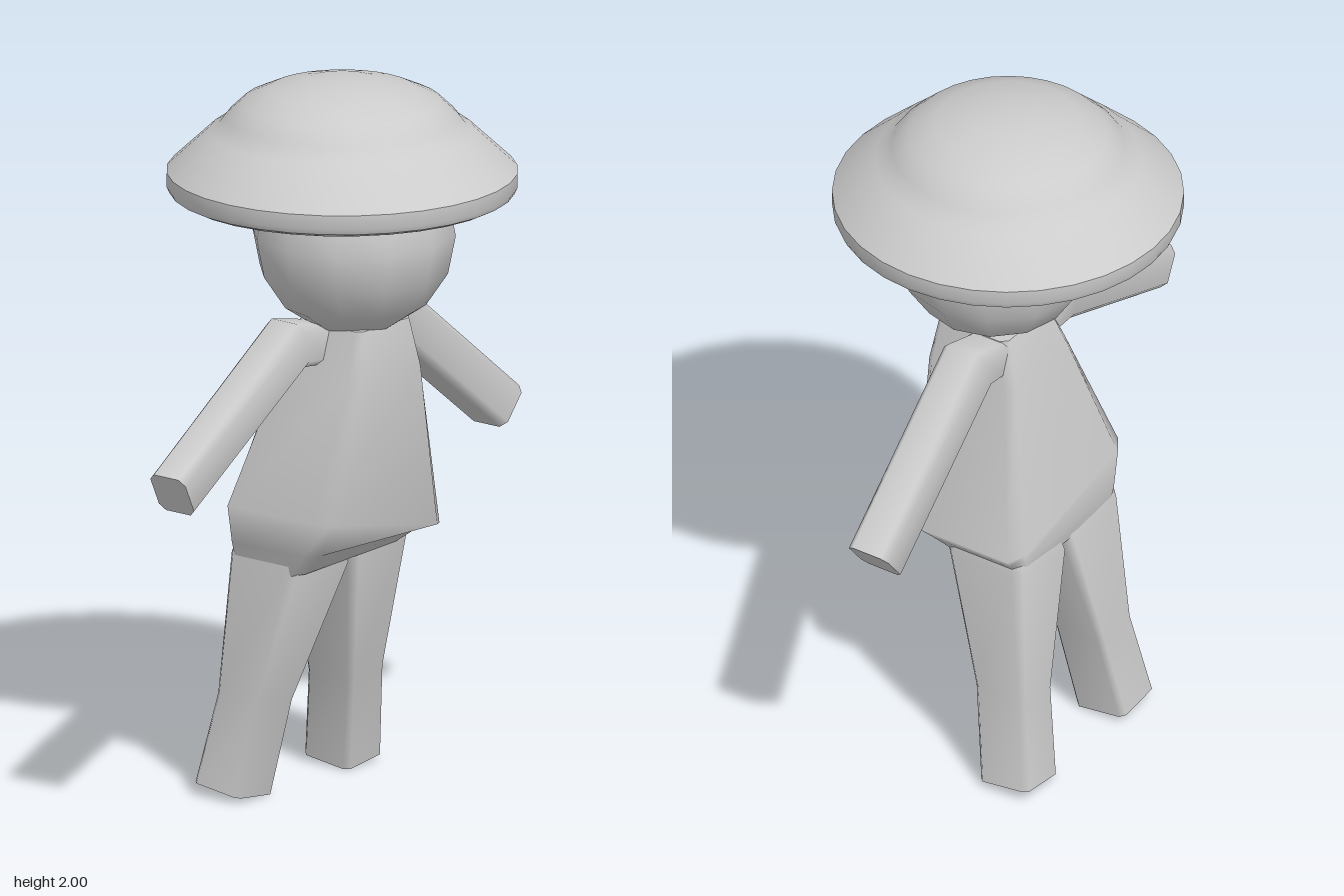
import * as THREE from 'three';
import { toCreasedNormals } from 'three/addons/utils/BufferGeometryUtils.js';

const CX = 0.05; // centre line of the body
const material = new THREE.MeshStandardMaterial({ color: 0xcccccc });

// Bevelled box cross-section spanning a -> b in the xy plane and front -> back in z;
// c sets how square the corners are, tilt lifts the front edge.
function ring([ax, ay], [bx, by], front, back, c, tilt = 0) {
  const corners = [[1, -c], [1, c], [c, 1], [-c, 1], [-1, c], [-1, -c], [-c, -1], [c, -1]];
  return corners.map(([u, v]) => new THREE.Vector3(
    (ax + bx) / 2 + u * (ax - bx) / 2,
    (ay + by) / 2 + u * (ay - by) / 2 + v * tilt,
    (front + back) / 2 + v * (front - back) / 2));
}

// Smooth skin through the rings, closed with flat caps.
function loft(rings) {
  const n = rings[0].length, index = [];
  const last = rings[rings.length - 1];
  for (let k = 0; k < (rings.length - 1) * n; k += n) {
    for (let i = 0; i < n; i++) {
      const a = k + i, b = k + (i + 1) % n;
      index.push(a, a + n, b, b, a + n, b + n);
    }
  }
  const s = rings.length * n, e = s + n;
  for (let i = 1; i < n - 1; i++) {
    index.push(s, s + i, s + i + 1, e, e + i + 1, e + i);
  }
  const g = new THREE.BufferGeometry().setFromPoints([...rings, rings[0], last].flat());
  g.setIndex(index);
  g.computeVertexNormals();
  return g;
}

export function createModel() {
  const model = new THREE.Group();
  const add = (name, geometry) => {
    const mesh = new THREE.Mesh(geometry, material);
    mesh.name = name;
    model.add(mesh);
    return mesh;
  };

  // Hat: underside, rolled rim, sloping brim and domed crown
  const profile = [
    [0, 1.93], [0.2, 1.885], [0.32, 1.82], [0.4, 1.69], [0.41, 1.68], [0.45, 1.68],
    [0.47, 1.69], [0.477, 1.705], [0.477, 1.745], [0.36, 1.855], [0.335, 1.868],
    [0.315, 1.895], [0.27, 1.938], [0.2, 1.97], [0.1, 1.994], [0, 2],
  ].map(([r, y]) => new THREE.Vector2(r, y));
  const hat = add('hat', toCreasedNormals(new THREE.LatheGeometry(profile, 32), 0.65));
  hat.position.x = CX;

  // Head
  const head = add('head', new THREE.SphereGeometry(0.28, 12, 8));
  head.position.set(0.046, 1.58, 0.045);

  // Torso, tapering to the neck; the hem overhangs in front and hangs lower on the left
  const torso = [ // left xy, right xy, front, back
    [[0.265, 0.67], [-0.19, 0.655], 0.04, -0.19],
    [[0.297, 0.715], [-0.205, 0.72], 0.1, -0.2],
    [[0.297, 0.725], [-0.235, 0.83], 0.165, -0.195],
    [[0.195, 1.2], [-0.105, 1.2], 0.175, -0.11],
    [[0.165, 1.335], [-0.06, 1.335], 0.155, -0.07],
  ];
  add('torso', loft(torso.map(([l, r, f, b]) => ring(l, r, f, b, 0.84))));

  // Legs, mirrored about the centre line
  const leg = [ // outer xy, inner xy, front, back, foot tilt
    [[0.357, 0.03], [0.205, 0.012], -0.113, -0.272, -0.01],
    [[0.313, 0.29], [0.168, 0.27], -0.068, -0.228, 0],
    [[0.296, 0.69], [0.05, 0.65], 0.04, -0.202, 0],
    [[0.25, 0.76], [0.06, 0.76], 0, -0.15, 0],
  ];
  const flip = ([x, y]) => [2 * CX - x, y];
  add('leftLeg', loft(leg.map(([o, i, f, b, t]) => ring(o, i, f, b, 0.82, t))));
  add('rightLeg', loft(leg.map(([o, i, f, b, t]) => ring(flip(i), flip(o), f, b, 0.82, t))));

  // Arms, each bent at the shoulder
  const arm = (name, sections) =>
    add(name, loft(sections.map(([a, b, f, k]) => ring(a, b, f, k, 0.7))));
  arm('leftArm', [
    [[0.08, 1.22], [0.08, 1.32], 0.05, -0.07],
    [[0.17, 1.225], [0.18, 1.335], 0.05, -0.075],
    [[0.24, 1.235], [0.29, 1.367], 0.05, -0.08],
    [[0.7, 0.885], [0.782, 0.985], 0.03, -0.1],
  ]);
  arm('rightArm', [
    [[0.02, 1.32], [0.02, 1.22], 0.05, -0.07],
    [[-0.07, 1.34], [-0.08, 1.23], 0.05, -0.075],
    [[-0.175, 1.362], [-0.145, 1.235], 0.05, -0.08],
    [[-0.787, 1.07], [-0.735, 0.96], 0.142, 0.018],
  ]);

  return model;
}
